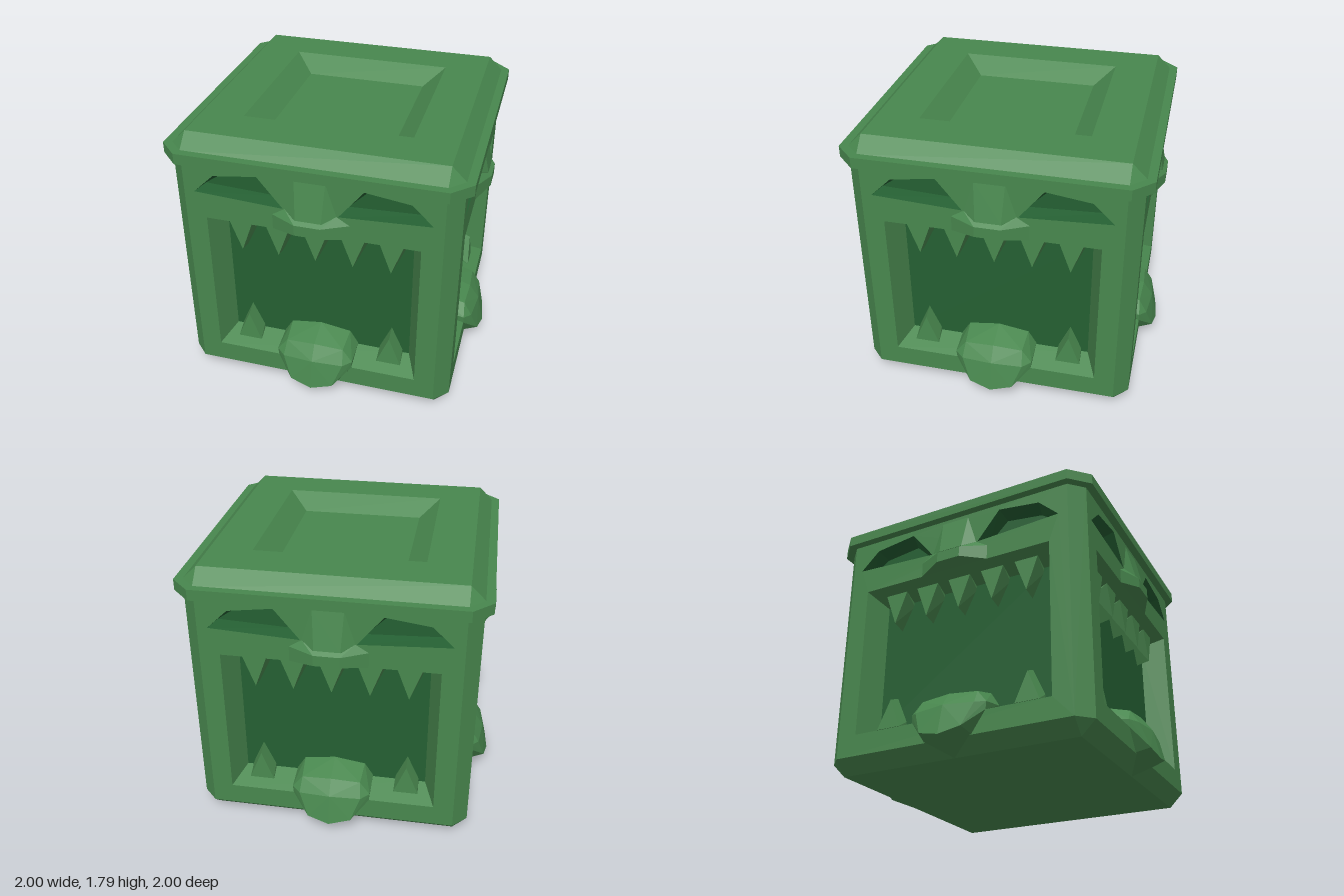
import * as THREE from 'three';
import { ConvexGeometry } from 'three/addons/geometries/ConvexGeometry.js';

const V = (x, y, z) => new THREE.Vector3(x, y, z);
const green = new THREE.MeshStandardMaterial({ color: 0x48874e });
green.name = 'leafGreen';
const dark = new THREE.MeshStandardMaterial({ color: 0x245f32 });
dark.name = 'darkGreen';

function mesh(name, geometry, material = green) {
  const m = new THREE.Mesh(geometry, material);
  m.name = name;
  return m;
}

// Flat-shaded faces, each a convex corner loop listed counter-clockwise
function faces(loops) {
  const pts = [];
  for (const l of loops)
    for (let i = 1; i < l.length - 1; i++) pts.push(l[0], l[i], l[i + 1]);
  const g = new THREE.BufferGeometry().setFromPoints(pts);
  g.computeVertexNormals();
  return g;
}

// Convex solid from half its points, mirrored across x = 0 and shifted sideways
function solid(name, half, dx = 0) {
  const pts = [];
  for (const [x, y, z] of half) {
    pts.push(V(x + dx, y, z));
    if (x) pts.push(V(dx - x, y, z));
  }
  return mesh(name, new ConvexGeometry(pts));
}

const shapeOf = (pts) => new THREE.Shape(pts.map(([x, y]) => new THREE.Vector2(x, y)));
const rect = (w, y0, y1) => [[-w, y0], [w, y0], [w, y1], [-w, y1]];
const mirror = (pts) => pts.map(([x, y]) => [-x, y]).reverse();

// Flat plate with holes
function plate(name, outline, holes, z) {
  const s = shapeOf(outline);
  s.holes = holes.map((h) => shapeOf(h));
  return mesh(name, new THREE.ShapeGeometry(s).translate(0, 0, z));
}

// Sunken pocket with sloping walls and a floor
function recess(name, outer, inner, z, depth, wallMat, floorMat) {
  const g = new THREE.Group();
  g.name = name;
  const at = ([x, y], d) => V(x, y, z - d);
  const walls = outer.map((p, i) => {
    const j = (i + 1) % outer.length;
    return [at(p, 0), at(outer[j], 0), at(inner[j], depth), at(inner[i], depth)];
  });
  g.add(mesh(name + 'Walls', faces(walls), wallMat));
  g.add(mesh(name + 'Floor', faces([inner.map((p) => at(p, depth))]), floorMat));
  return g;
}

const A = 0.89, B = 0.8, LOW = 0.09, HIGH = 1.7, TOP = 1.79;

// One carved face of the block
function createSide() {
  const g = new THREE.Group();
  g.name = 'carvedSide';

  const mouth = rect(0.67, 0.23, 1.25), mouthIn = rect(0.6, 0.3, 1.18);
  const eye = [[0.17, 1.4], [0.735, 1.43], [0.605, 1.556], [0.326, 1.594]];
  const eyeIn = [[0.21, 1.425], [0.695, 1.447], [0.585, 1.524], [0.342, 1.556]];
  g.add(plate('facePanel', rect(B, LOW, HIGH), [mouth, eye, mirror(eye)], A));
  g.add(recess('mouth', mouth, mouthIn, A, 0.16, green, dark));
  g.add(recess('leftEye', eye, eyeIn, A, 0.09, dark, dark));
  g.add(recess('rightEye', mirror(eye), mirror(eyeIn), A, 0.09, dark, dark));

  // Bevelled edges and one corner
  g.add(mesh('bevels', faces([
    [V(-B, 0, B), V(B, 0, B), V(B, LOW, A), V(-B, LOW, A)],
    [V(-B, HIGH, A), V(B, HIGH, A), V(B, TOP, B), V(-B, TOP, B)],
    [V(B, LOW, A), V(A, LOW, B), V(A, HIGH, B), V(B, HIGH, A)],
    [V(B, 0, B), V(A, LOW, B), V(B, LOW, A)],
    [V(B, HIGH, A), V(A, HIGH, B), V(B, TOP, B)],
  ])));

  // Nose bridge and upper lip
  g.add(solid('noseBridge', [
    [0.095, 1.61, 0.89], [0.08, 1.365, 0.942], [0.16, 1.4, 0.89], [0.16, 1.35, 0.88],
  ]));
  g.add(solid('upperLip', [
    [0.24, 1.35, 0.89], [0.16, 1.4, 0.89], [0.08, 1.345, 0.965],
    [0.08, 1.275, 0.965], [0.24, 1.25, 0.89], [0.24, 1.3, 0.88],
  ]));

  // Teeth
  for (let i = -2; i <= 2; i++)
    g.add(solid('upperTooth', [
      [0.08, 1.22, 0.82], [0, 1.0, 0.82], [0.08, 1.22, 0.72],
      [0.08, 1.15, 0.72], [0, 0.98, 0.72],
    ], i * 0.24));
  for (const s of [-1, 1])
    g.add(solid('lowerTooth', [
      [0.08, 0.265, 0.82], [0, 0.46, 0.81], [0.08, 0.265, 0.72],
      [0.075, 0.33, 0.72], [0, 0.5, 0.72],
    ], s * 0.48));

  // Tongue hanging over the lower lip
  g.add(solid('tongue', [
    [0, 0.43, 0.73], [0.2, 0.4, 0.73], [0.255, 0.31, 0.73],
    [0, 0.375, 0.89], [0.19, 0.36, 0.88],
    [0, 0.28, 0.957], [0.2, 0.27, 0.935],
    [0, 0.085, 1.0], [0.14, 0.12, 0.98],
    [0.255, 0.28, 0.89], [0.25, 0.23, 0.89], [0.16, 0.095, 0.89],
    [0, 0, 0.8],
  ]));
  return g;
}

export function createModel() {
  const model = new THREE.Group();
  model.name = 'carvedBlock';

  for (let k = 0; k < 4; k++) {
    const side = createSide();
    side.rotation.y = k * Math.PI / 2;
    model.add(side);
  }

  // Top with a shallow square hollow
  const lid = new THREE.Group();
  lid.name = 'top';
  const hollow = rect(0.53, -0.53, 0.53), hollowIn = rect(0.4, -0.4, 0.4);
  lid.add(plate('topPanel', rect(B, -B, B), [hollow], TOP));
  lid.add(recess('hollow', hollow, hollowIn, TOP, 0.1, green, green));
  lid.rotation.x = -Math.PI / 2;
  model.add(lid);

  // Underside
  const base = plate('base', rect(B, -B, B), [], 0);
  base.rotation.x = Math.PI / 2;
  model.add(base);

  // Band around the rim
  const W = 0.94, C = 0.82;
  const octagon = [[C, -W], [W, -C], [W, C], [C, W], [-C, W], [-W, C], [-W, -C], [-C, -W]];
  const bandShape = shapeOf(octagon);
  bandShape.holes = [shapeOf(rect(0.78, -0.78, 0.78))];
  const band = mesh('rimBand', new THREE.ExtrudeGeometry(bandShape, { depth: 0.07, bevelEnabled: false }));
  band.rotation.x = -Math.PI / 2;
  band.position.y = 1.632;
  model.add(band);

  return model;
}
